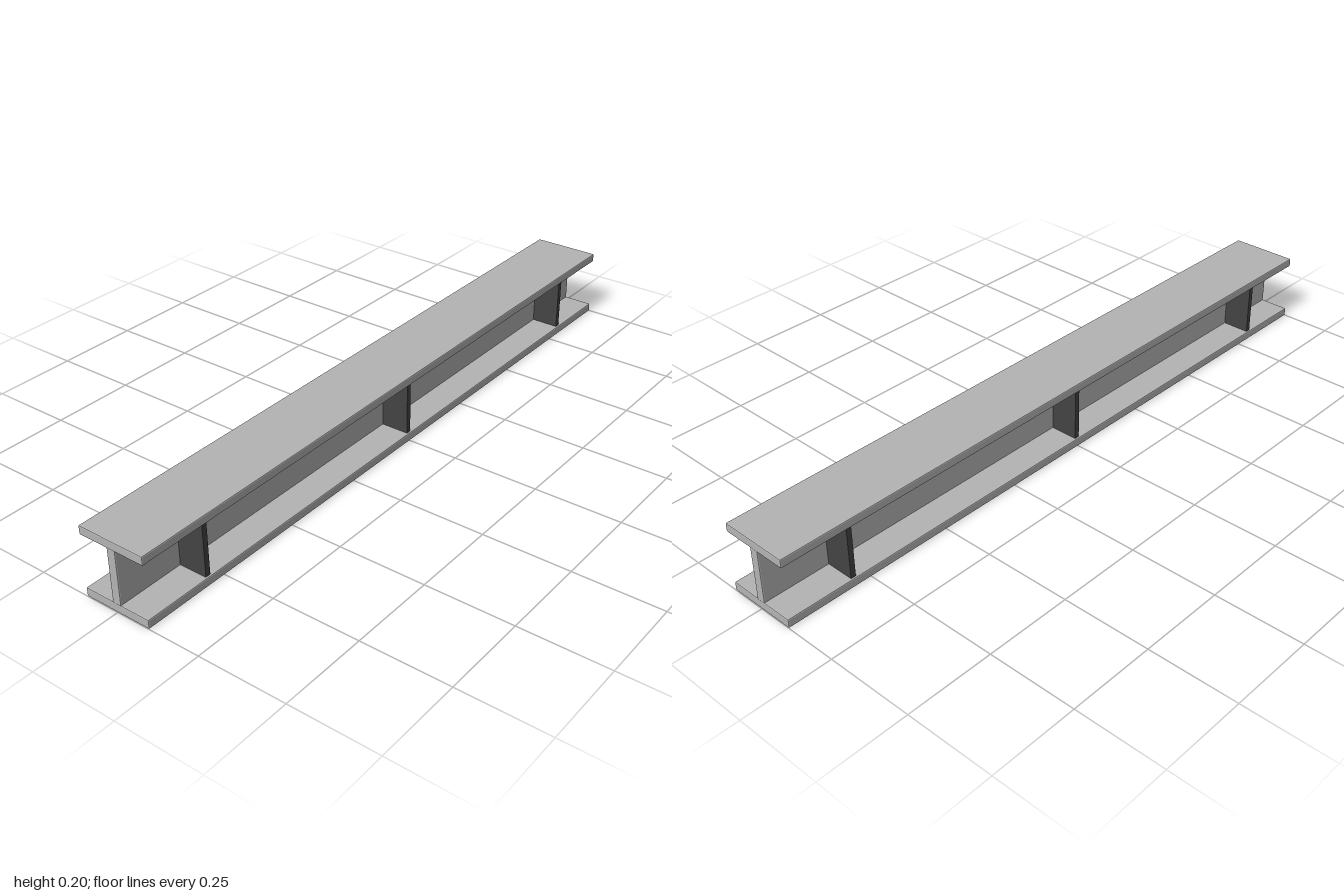
import * as THREE from 'three';
import { RoundedBoxGeometry } from 'three/addons/geometries/RoundedBoxGeometry.js';

const steel = new THREE.MeshStandardMaterial({ color: 0xb4b4b4 });
steel.name = 'light steel';
const darkSteel = new THREE.MeshStandardMaterial({ color: 0x444444 });
darkSteel.name = 'dark steel';

// Plate with a fine chamfer on every edge
function plate(name, material, size, position) {
  const geometry = new RoundedBoxGeometry(...size, 1, 0.003);
  geometry.computeVertexNormals(); // flat facets
  const mesh = new THREE.Mesh(geometry, material);
  mesh.name = name;
  mesh.position.set(...position);
  return mesh;
}

export function createModel() {
  const beam = new THREE.Group();
  beam.name = 'steelBeam';

  // Flanges and the web between them
  beam.add(plate('bottomFlange', steel, [2, 0.025, 0.2], [0, 0.0125, 0]));
  beam.add(plate('topFlange', steel, [2, 0.025, 0.2], [0, 0.1875, 0]));
  beam.add(plate('web', steel, [2, 0.156, 0.026], [0, 0.1, 0]));

  // Stiffener plates on both sides of the web
  for (const x of [-0.8, 0, 0.8]) {
    for (const side of [-1, 1]) {
      const stiffener = new THREE.Mesh(new THREE.BoxGeometry(0.015, 0.15, 0.083), darkSteel);
      stiffener.name = side > 0 ? 'frontStiffener' : 'backStiffener';
      stiffener.position.set(x, 0.1, side * 0.0535);
      beam.add(stiffener);
    }
  }
  return beam;
}
